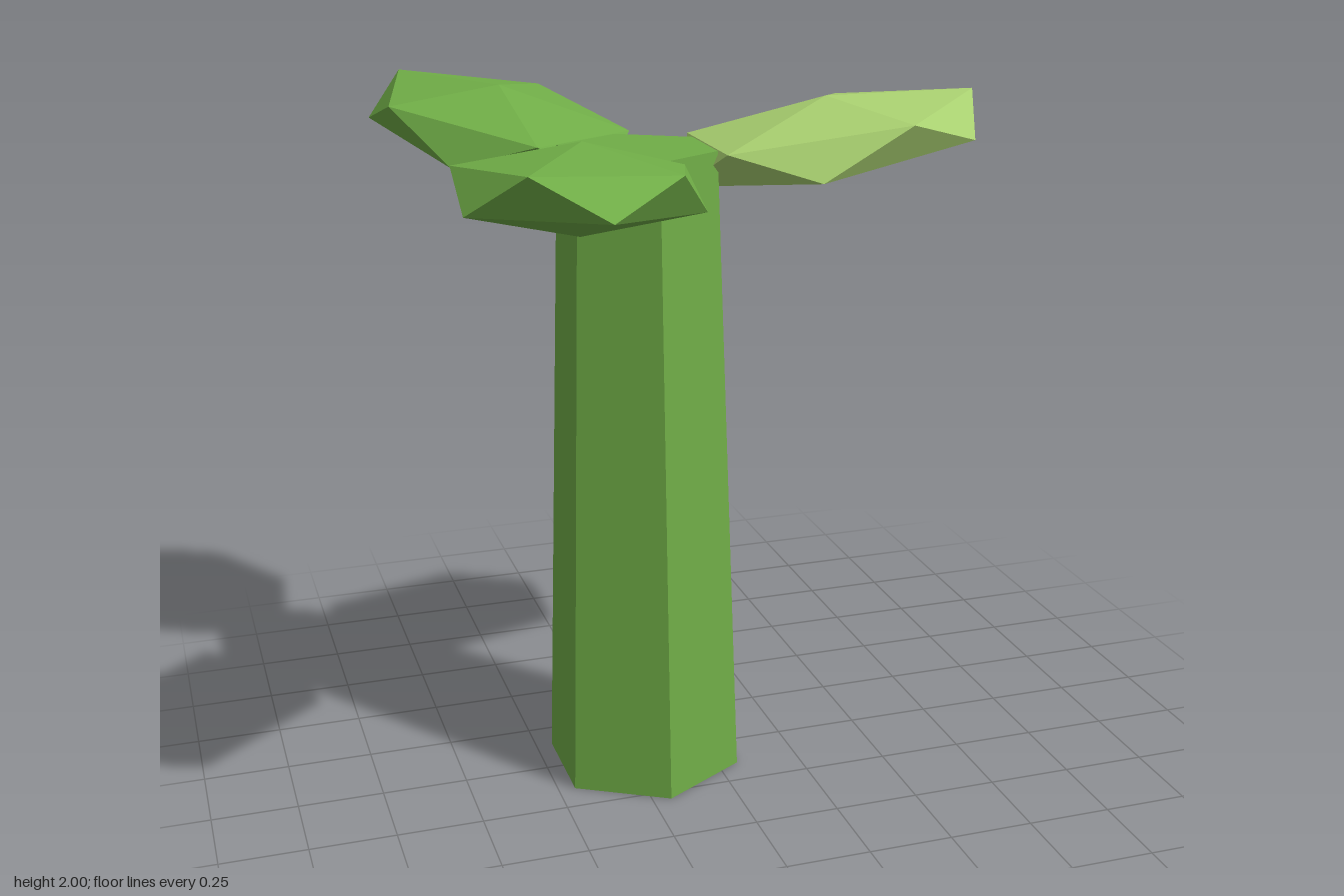
import * as THREE from 'three';

export function createModel() {
  const model = new THREE.Group();
  model.name = 'plant';

  const green = new THREE.MeshStandardMaterial({ color: 0x70ad47 });
  green.name = 'leaf green';
  const pale = new THREE.MeshStandardMaterial({ color: 0xa9d070 });
  pale.name = 'pale green';

  // Stem and leaves share one vertical axis
  const plant = new THREE.Group();
  plant.name = 'stemAndLeaves';
  plant.position.x = -0.195;
  model.add(plant);

  // Tapered six-sided stem, flat-faced
  const stemHeight = 1.883;
  const stemGeometry = new THREE.CylinderGeometry(0.23, 0.295, stemHeight, 6).toNonIndexed();
  stemGeometry.computeVertexNormals();
  const stem = new THREE.Mesh(stemGeometry, green);
  stem.name = 'stem';
  stem.position.y = stemHeight / 2;
  plant.add(stem);

  // Leaf: a flattened icosahedron whose upper half leans outward
  const leafGeometry = new THREE.IcosahedronGeometry(1, 0);
  leafGeometry.applyMatrix4(new THREE.Matrix4().set(
    0.435, 0.25, 0, 0.575,
    0, 0.138, 0, stemHeight,
    0, 0, 0.3475, 0,
    0, 0, 0, 1
  ));
  leafGeometry.computeVertexNormals();

  // Three leaves around the top of the stem
  const leaves = [['leftLeaf', pale], ['backLeaf', green], ['frontLeaf', green]];
  leaves.forEach(([name, material], i) => {
    const leaf = new THREE.Mesh(leafGeometry, material);
    leaf.name = name;
    leaf.rotation.y = (i * Math.PI * 2) / 3;
    plant.add(leaf);
  });

  return model;
}
